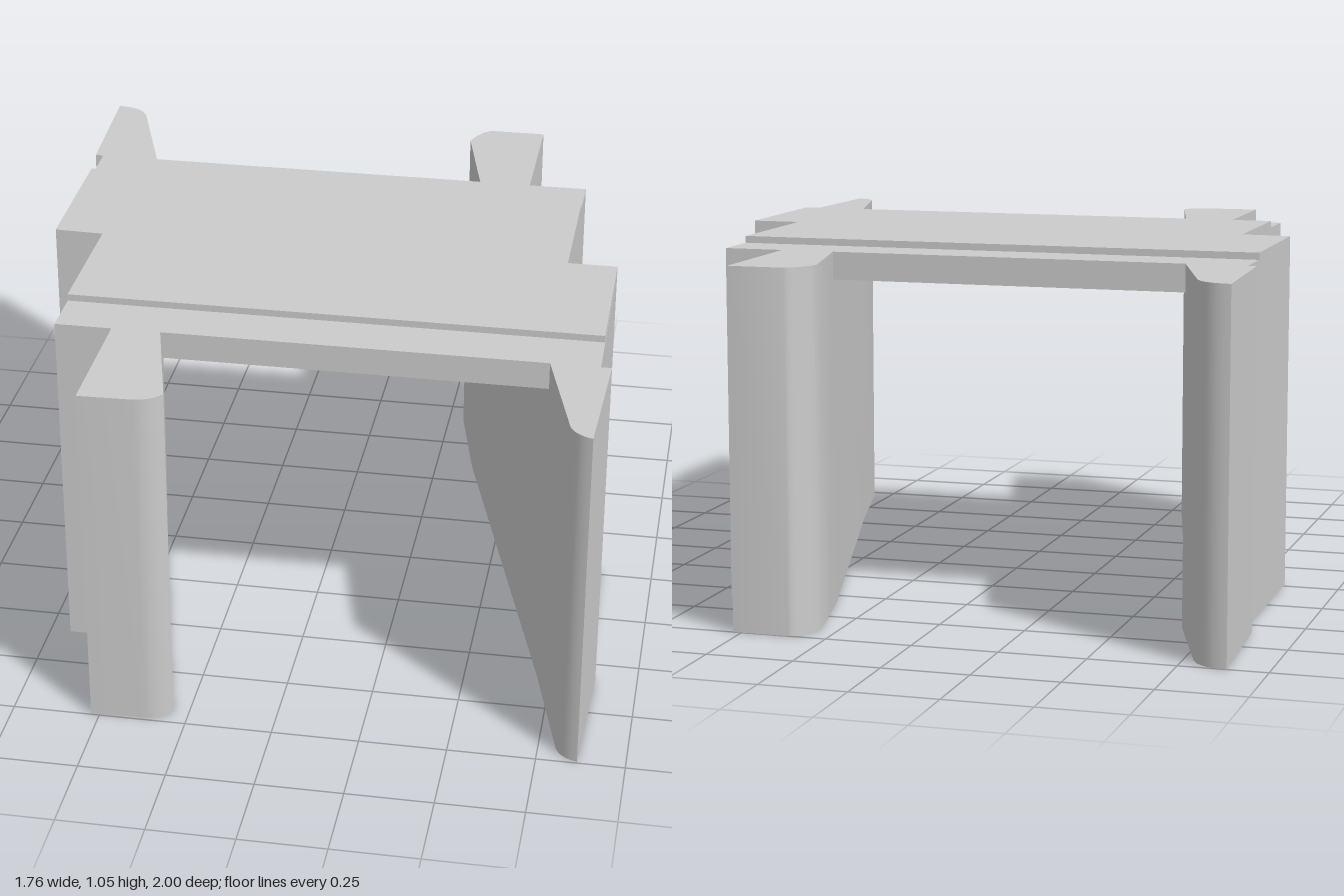
import * as THREE from 'three';
import { toCreasedNormals } from 'three/addons/utils/BufferGeometryUtils.js';

const material = new THREE.MeshStandardMaterial({ color: 0xcccccc });

// Extrudes a plan outline upward from y0 to y1. Points are [x, z];
// four numbers mean a rounded corner: [controlX, controlZ, x, z].
function slab(name, outline, y0, y1) {
  const shape = new THREE.Shape();
  outline.forEach((p, i) => {
    if (i === 0) shape.moveTo(p[0], -p[1]);
    else if (p.length === 4) shape.quadraticCurveTo(p[0], -p[1], p[2], -p[3]);
    else shape.lineTo(p[0], -p[1]);
  });
  const geometry = new THREE.ExtrudeGeometry(shape, {
    depth: y1 - y0, bevelEnabled: false, curveSegments: 8,
  });
  geometry.rotateX(-Math.PI / 2).translate(0, y0, 0);
  const mesh = new THREE.Mesh(toCreasedNormals(geometry, 0.6), material);
  mesh.name = name;
  return mesh;
}

export function createModel() {
  const model = new THREE.Group();
  model.name = 'steppedBridge';
  const wallTop = 1.03, deckBottom = 0.95, deckTop = 1.05;
  const deckEnd = 0.59, raisedEnd = 0.44;

  // Side walls: stepped outer face, slanted inner face, rounded tips
  model.add(slab('leftWall', [
    [0.525, -1], [0.36, -1], [0.325, -0.99, 0.298, -0.91],
    [0.347, -0.69], [0.37, -deckEnd], [0.71, deckEnd],
    [0.80, 0.94], [0.815, 0.98, 0.865, 0.995],
    [0.88, deckEnd], [0.85, deckEnd], [0.845, -0.01],
    [0.70, -0.01], [0.70, -deckEnd], [0.525, -deckEnd],
  ], 0, wallTop));
  model.add(slab('rightWall', [
    [-0.525, 0.995], [-0.37, 0.99], [-0.32, 0.985, -0.295, 0.945],
    [-0.385, deckEnd], [-0.665, -deckEnd],
    [-0.775, -0.92], [-0.80, -1, -0.885, -1],
    [-0.865, -deckEnd], [-0.84, -deckEnd], [-0.835, 0.02],
    [-0.69, 0.025], [-0.69, deckEnd], [-0.525, deckEnd],
  ], 0, wallTop));

  // Deck spanning the slanted gap between the walls
  model.add(slab('deck', [
    [-0.665, -deckEnd], [0.37, -deckEnd], [0.71, deckEnd], [-0.385, deckEnd],
  ], deckBottom, wallTop));

  // Thin raised plate following the outer steps
  model.add(slab('raisedPlate', [
    [-0.84, -raisedEnd], [0.70, -raisedEnd], [0.70, -0.01], [0.845, -0.01],
    [0.848, raisedEnd], [-0.69, raisedEnd], [-0.69, 0.025], [-0.835, 0.02],
  ], wallTop, deckTop));

  return model;
}
